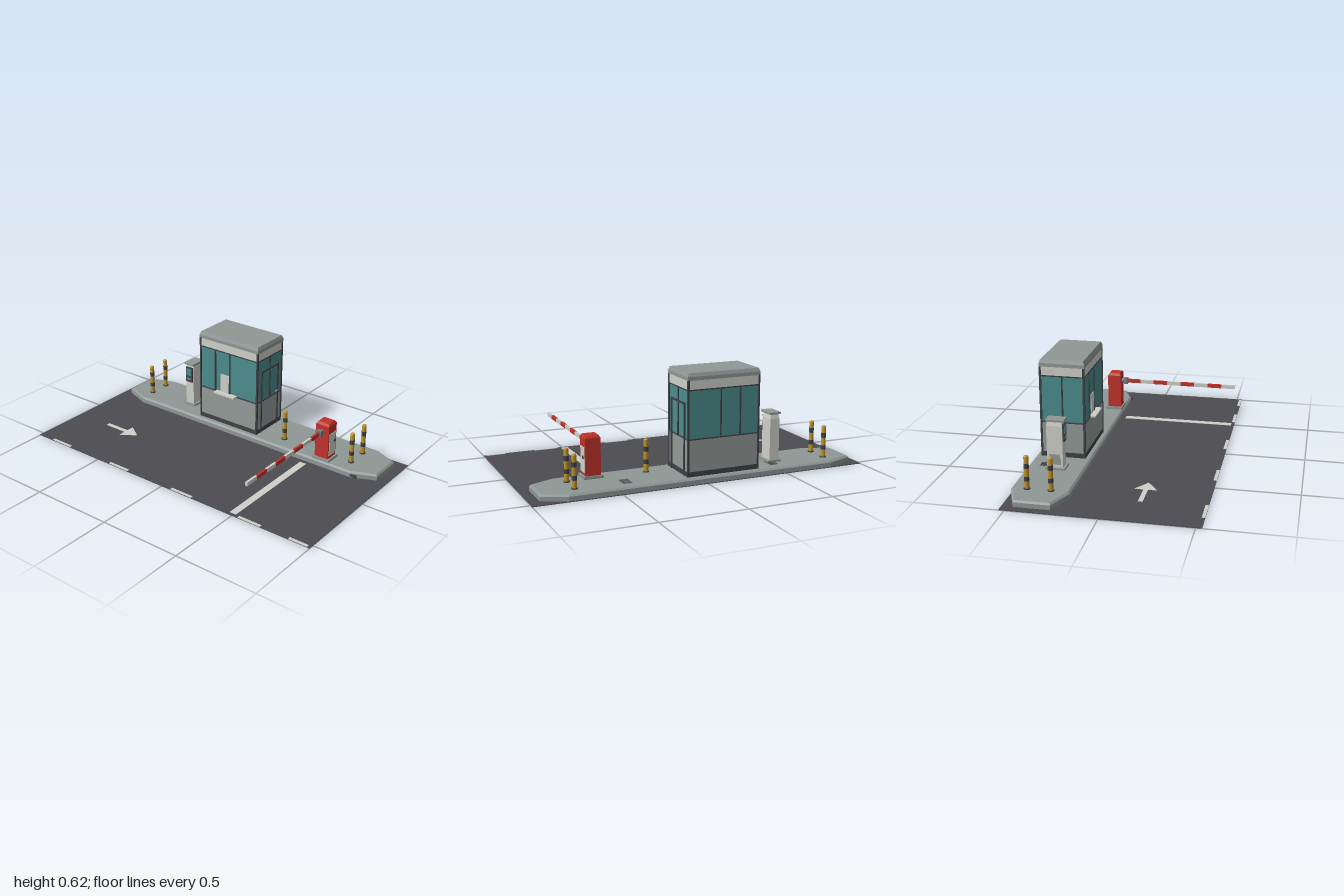
import * as THREE from 'three';

const mat = (name, color, flatShading = false) => {
  const m = new THREE.MeshStandardMaterial({ color, flatShading });
  m.name = name;
  return m;
};

export function createModel() {
  const asphalt = mat('asphalt', 0x4c4b50);
  const concrete = mat('concrete', 0x8f9896);
  const wallGrey = mat('wallGrey', 0x929a98);
  const dark = mat('darkFrame', 0x404146);
  const light = mat('offWhite', 0xcfd0c9);
  const red = mat('signalRed', 0xc0322b);
  const yellow = mat('bollardYellow', 0xc0942c);
  const glass = mat('tealGlass', 0x4b8c8c);
  const metal = mat('metal', 0x727c82);

  const model = new THREE.Group();
  model.name = 'tollGate';
  const group = (name) => {
    const g = new THREE.Group();
    g.name = name;
    model.add(g);
    return g;
  };
  const add = (parent, name, geo, material, x = 0, y = 0, z = 0) => {
    const m = new THREE.Mesh(geo, material);
    m.name = name;
    m.position.set(x, y, z);
    parent.add(m);
    return m;
  };
  // box given by its low and high corner
  const box = (parent, name, material, x0, x1, y0, y1, z0, z1) =>
    add(parent, name, new THREE.BoxGeometry(x1 - x0, y1 - y0, z1 - z0), material,
      (x0 + x1) / 2, (y0 + y1) / 2, (z0 + z1) / 2);
  // the same with a sloping bevel around the top
  const bevelBox = (parent, name, material, x0, x1, y0, y1, z0, z1, inset, rise) => {
    const w = x1 - x0, h = y1 - y0, d = z1 - z0;
    const geo = new THREE.BoxGeometry(w, h, d, 1, 2, 1).toNonIndexed();
    const p = geo.attributes.position;
    for (let i = 0; i < p.count; i++) {
      const y = p.getY(i);
      if (Math.abs(y) < 1e-6) p.setY(i, h / 2 - rise);
      else if (y > 0) {
        p.setX(i, p.getX(i) * (1 - 2 * inset / w));
        p.setZ(i, p.getZ(i) * (1 - 2 * inset / d));
      }
    }
    geo.computeVertexNormals();
    return add(parent, name, geo, material, (x0 + x1) / 2, (y0 + y1) / 2, (z0 + z1) / 2);
  };

  // Road and its markings
  const road = group('road');
  box(road, 'roadSurface', asphalt, -0.533, 0.53, 0, 0.004, -1, 1);
  const paint = (name, x0, x1, z0, z1) => box(road, name, light, x0, x1, 0.003, 0.006, z0, z1);
  for (const [a, b] of [[-0.885, -0.735], [-0.41, -0.263], [0.066, 0.215], [0.54, 0.687], [0.867, 0.985]])
    paint('edgeDash', -0.533, -0.515, a, b);
  paint('stopLine', -0.515, 0.175, 0.475, 0.517);
  paint('arrowShaft', -0.184, -0.158, -0.76, -0.605);
  const head = new THREE.Shape([[-0.063, 0.605], [0, 0.513], [0.063, 0.605]].map((q) => new THREE.Vector2(...q)));
  add(road, 'arrowHead', new THREE.ExtrudeGeometry(head, { depth: 0.003, bevelEnabled: false }).rotateX(-Math.PI / 2),
    light, -0.171, 0.003, 0);

  // Kerbed island with tapered ends and a bevelled rim
  const island = group('island');
  const outline = [[-0.102, 0.948], [0.102, 0.948], [0.163, 0.79], [0.163, -0.81], [0.102, -0.948],
    [-0.102, -0.948], [-0.163, -0.81], [-0.163, 0.79]];
  const islandGeo = new THREE.ExtrudeGeometry(new THREE.Shape(outline.map((q) => new THREE.Vector2(...q))),
    { depth: 0.036, steps: 2, bevelEnabled: false });
  const ip = islandGeo.attributes.position;
  for (let i = 0; i < ip.count; i++) {
    const t = ip.getZ(i) / 0.036;
    if (t > 0.9) ip.setXY(i, ip.getX(i) * 0.935, ip.getY(i) * 0.99);
    else if (t > 0.1) ip.setZ(i, 0.026);
  }
  islandGeo.rotateX(-Math.PI / 2).computeVertexNormals();
  add(island, 'kerbIsland', islandGeo, concrete, 0.366, 0.004, -0.007);
  box(island, 'kerbMarker', dark, 0.199, 0.21, 0.012, 0.026, 0.8, 0.84);
  for (const z0 of [-0.478, 0.425])
    for (let i = 0; i < 5; i++)
      box(island, 'drainSlot', dark, 0.385, 0.465, 0.039, 0.042, z0 + i * 0.011, z0 + i * 0.011 + 0.005);

  // Booth: walls, plinth, fascia and roof
  const booth = group('booth');
  const X0 = 0.238, X1 = 0.495, Z0 = -0.327, Z1 = 0.109;
  box(booth, 'plinth', dark, X0 - 0.002, X1 + 0.002, 0.04, 0.068, Z0 - 0.002, Z1 + 0.002);
  box(booth, 'lowerWall', wallGrey, X0, X1, 0.066, 0.25, Z0, Z1);
  box(booth, 'glazing', glass, X0 + 0.003, X1 - 0.003, 0.25, 0.526, Z0 + 0.003, Z1 - 0.003);
  box(booth, 'fascia', light, X0, X1, 0.526, 0.582, Z0, Z1);
  bevelBox(booth, 'roof', concrete, X0 - 0.004, X1 + 0.004, 0.58, 0.62, Z0 - 0.004, Z1 + 0.004, 0.008, 0.02);
  for (const y of [0.25, 0.525])
    box(booth, 'windowRail', dark, X0 - 0.002, X1 + 0.002, y - 0.003, y + 0.004, Z0 - 0.002, Z1 + 0.002);
  for (const x of [X0, X1])
    for (const z of [Z0, Z1])
      box(booth, 'cornerPost', dark, x - 0.004 - (x > 0.4 ? 0.004 : 0), x + 0.004 + (x < 0.4 ? 0.004 : 0),
        0.04, 0.582, z - 0.003 - (z > 0 ? 0.004 : 0), z + 0.003 + (z < 0 ? 0.004 : 0));
  for (const x of [X0, X1])
    for (const z of [-0.21, x === X0 ? -0.1 : -0.09])
      box(booth, 'sideMullion', dark, x - 0.003, x + 0.003, 0.25, 0.526, z - 0.004, z + 0.004);
  for (const z of [Z0, Z1])
    box(booth, 'endMullion', dark, 0.3625, 0.3705, 0.25, 0.526, z - 0.003, z + 0.003);

  // Door on the front wall
  for (const x of [0.276, 0.446])
    box(booth, 'doorJamb', dark, x, x + 0.009, 0.04, 0.452, Z1 - 0.002, Z1 + 0.006);
  box(booth, 'doorHead', dark, 0.276, 0.455, 0.442, 0.452, Z1 - 0.002, Z1 + 0.006);
  box(booth, 'doorStile', dark, 0.361, 0.372, 0.25, 0.33, Z1, Z1 + 0.006);
  box(booth, 'doorHandle', metal, 0.425, 0.45, 0.264, 0.271, Z1, Z1 + 0.012);

  // Service hatch facing the lane
  box(booth, 'serviceLedge', light, 0.205, X0 + 0.003, 0.247, 0.257, -0.2, -0.045);
  box(booth, 'hatchPanel', light, X0 - 0.001, X0 + 0.004, 0.257, 0.375, -0.17, -0.104);

  // Barrier cabinet
  const barrier = group('barrier');
  box(barrier, 'barrierBase', concrete, 0.212, 0.313, 0.038, 0.056, 0.533, 0.646);
  bevelBox(barrier, 'barrierCabinet', red, 0.22, 0.304, 0.055, 0.282, 0.545, 0.634, 0.009, 0.014);
  box(barrier, 'frontPanel', light, 0.23, 0.294, 0.073, 0.217, 0.632, 0.637);
  box(barrier, 'panelLock', dark, 0.275, 0.286, 0.153, 0.17, 0.636, 0.643);

  // Striped arm and its pivot
  box(barrier, 'armClamp', metal, 0.18, 0.205, 0.208, 0.246, 0.572, 0.604);
  add(barrier, 'armPivot', new THREE.CylinderGeometry(0.015, 0.015, 0.03, 12).rotateZ(Math.PI / 2), metal, 0.209, 0.227, 0.588);
  const step = 0.0885;
  for (let i = 0; i < 8; i++)
    box(barrier, 'armStripe', i % 2 ? red : light, -0.523 + i * step, -0.523 + (i + 1) * step, 0.215, 0.238, 0.581, 0.595);

  // Bollards with dark bands
  for (const [x, z] of [[0.305, -0.797], [0.438, -0.797], [0.3, 0.277], [0.305, 0.743], [0.438, 0.743]]) {
    const bollard = group('bollard');
    bollard.position.set(x, 0, z);
    const ring = (name, m, r, y0, y1) =>
      add(bollard, name, new THREE.CylinderGeometry(r, r, y1 - y0, 14), m, 0, (y0 + y1) / 2, 0);
    ring('bollardFoot', dark, 0.018, 0.038, 0.046);
    ring('bollardPost', yellow, 0.0135, 0.04, 0.226);
    ring('lowerBand', dark, 0.0143, 0.088, 0.114);
    ring('upperBand', dark, 0.0143, 0.16, 0.188);
    add(bollard, 'bollardCap', new THREE.CylinderGeometry(0.009, 0.0135, 0.006, 14), yellow, 0, 0.229, 0);
  }

  // Ticket machine
  const kiosk = group('ticketMachine');
  box(kiosk, 'machineBase', concrete, 0.305, 0.418, 0.038, 0.052, -0.525, -0.437);
  bevelBox(kiosk, 'machineBody', light, 0.318, 0.41, 0.05, 0.326, -0.512, -0.452, 0.006, 0.03);
  box(kiosk, 'machineCap', concrete, 0.308, 0.414, 0.322, 0.334, -0.517, -0.447);
  box(kiosk, 'screenHousing', dark, 0.309, 0.32, 0.205, 0.305, -0.508, -0.456);
  box(kiosk, 'screen', glass, 0.306, 0.31, 0.25, 0.298, -0.502, -0.462);
  box(kiosk, 'ticketSlot', metal, 0.306, 0.31, 0.218, 0.235, -0.498, -0.466);
  box(kiosk, 'servicePanel', wallGrey, 0.333, 0.395, 0.07, 0.13, -0.516, -0.511);

  return model;
}
